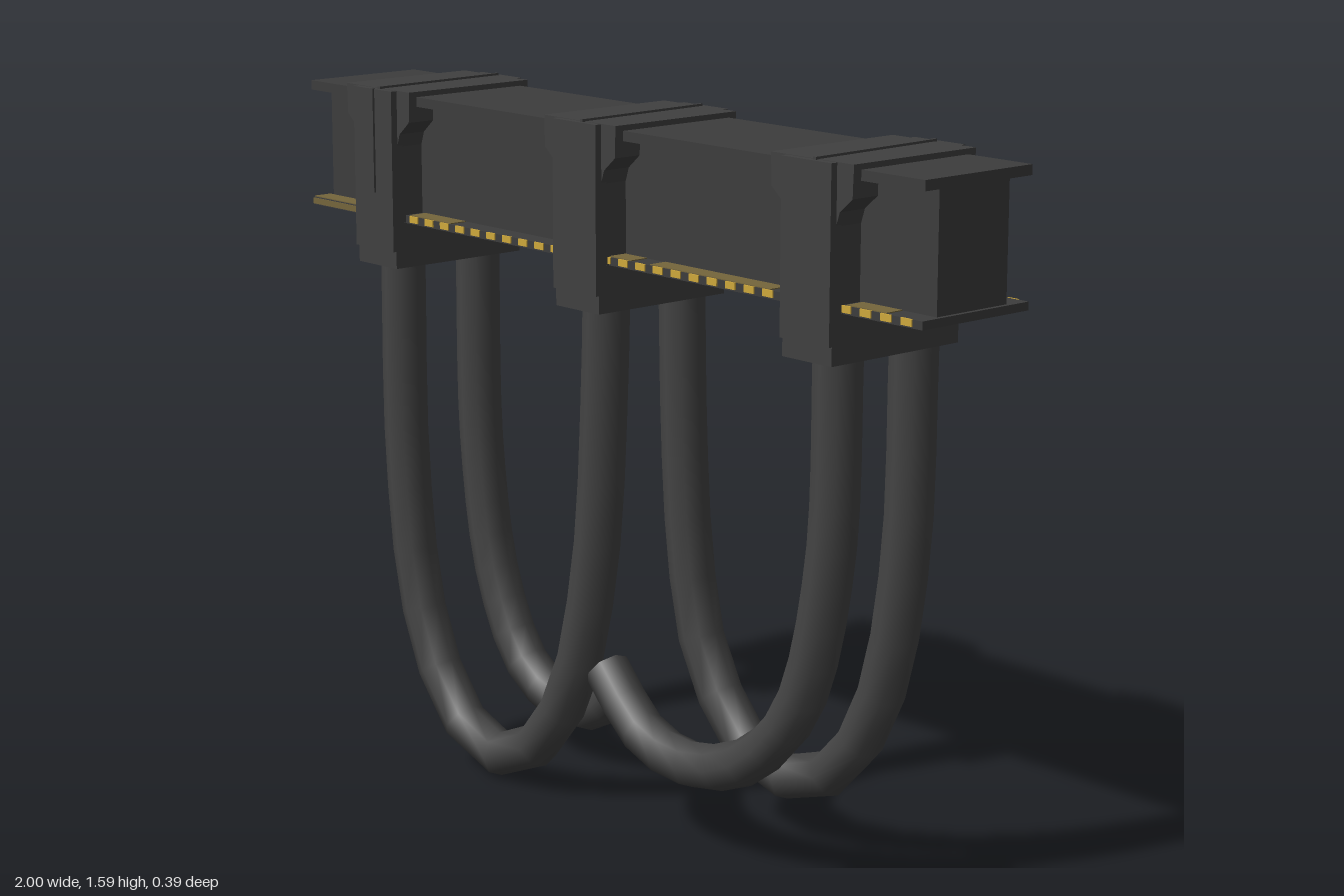
import * as THREE from 'three';

const mat = (name, color) => {
  const m = new THREE.MeshStandardMaterial({ color });
  m.name = name;
  return m;
};

export function createModel() {
  const model = new THREE.Group();
  const steel = mat('beam steel', 0x3d3d3d);
  const iron = mat('clamp iron', 0x404040);
  const rubber = mat('cable rubber', 0x444444);
  const yellow = mat('warning yellow', 0xd0a93c);
  const olive = mat('worn yellow', 0x75663c);

  const add = (parent, name, geo, material, x = 0, y = 0, z = 0) => {
    const m = new THREE.Mesh(geo, material);
    m.name = name;
    m.position.set(x, y, z);
    parent.add(m);
    return m;
  };
  const box = (parent, name, w, h, d, material, x, y, z) =>
    add(parent, name, new THREE.BoxGeometry(w, h, d), material, x, y, z);

  // Girder: thick web between two thin flanges
  const beam = new THREE.Group();
  beam.name = 'beam';
  model.add(beam);
  box(beam, 'web', 1.98, 0.27, 0.2, steel, 0, 1.43, 0);
  box(beam, 'topFlange', 2, 0.022, 0.305, steel, 0, 1.566, -0.002);
  box(beam, 'bottomFlange', 2, 0.018, 0.305, steel, 0, 1.291, -0.002);

  // Worn paint on the lower flange and dashes along its edges
  for (const s of [1, -1]) {
    const edge = s * 0.1525 - 0.002;
    for (const [a, b] of [[-1, -0.79], [-0.63, -0.48], [0.07, 0.14], [0.2, 0.57], [0.79, 0.9]])
      box(beam, 'wornPaint', b - a, 0.002, 0.045, olive, (a + b) / 2, 1.301, edge - s * 0.025);
    box(beam, 'wornEdge', 0.2, 0.014, 0.002, olive, -0.9, 1.291, edge + s * 0.001);
    for (let x = -0.61; x < 0.99; x += 0.056)
      box(beam, 'edgeDash', 0.03, 0.015, 0.004, yellow, x, 1.293, edge + s * 0.001);
  }

  // Clamps: flared side plates, raised straps, cap and cable block
  const flare = new THREE.Shape();
  const half = [[0.07, 1.18], [0.07, 1.46], [0.08, 1.49], [0.115, 1.52], [0.117, 1.578]];
  half.forEach(([x, y], i) => (i ? flare.lineTo(x, y) : flare.moveTo(x, y)));
  [...half].reverse().forEach(([x, y]) => flare.lineTo(-x, y));
  flare.closePath();
  const plateGeo = new THREE.ExtrudeGeometry(flare, { depth: 0.07, bevelEnabled: false });

  [-0.713, 0, 0.71].forEach((x, i) => {
    const clamp = new THREE.Group();
    clamp.name = 'clamp';
    clamp.position.x = x;
    model.add(clamp);
    add(clamp, 'frontPlate', plateGeo, iron, 0, 0, 0.102);
    add(clamp, 'backPlate', plateGeo, iron, 0, 0, -0.176);
    box(clamp, 'frontStrap', 0.142, 0.37, 0.03, iron, 0, 1.403, 0.173);
    box(clamp, 'backStrap', 0.142, 0.37, 0.03, iron, 0, 1.403, -0.179);
    box(clamp, 'cap', 0.234, 0.018, 0.348, iron, 0, 1.58, -0.002);
    box(clamp, 'cableBlock', 0.142, 0.105, 0.366, iron, 0, 1.2305, -0.003);
    // Thin seam ridge over the cap
    const seam = box(clamp, 'seam', 0.008, 0.008, 0.36, iron, 0.008, 1.59, 0);
    seam.rotation.y = 0.04;
    if (i === 0) box(clamp, 'frontSeam', 0.006, 0.24, 0.006, iron, 0.005, 1.47, 0.19);
  });

  // Cables: two full loops and two severed ends
  const cable = (name, pts) => {
    const curve = new THREE.CatmullRomCurve3(pts.map(p => new THREE.Vector3(...p)));
    const g = new THREE.Group();
    g.name = name;
    model.add(g);
    add(g, 'cableTube', new THREE.TubeGeometry(curve, 18, 0.052, 8), rubber);
    const cap = add(g, 'cableEnd', new THREE.CircleGeometry(0.052, 8), rubber);
    cap.position.copy(curve.getPoint(1));
    cap.quaternion.setFromUnitVectors(new THREE.Vector3(0, 0, 1), curve.getTangent(1));
  };
  const at = (z, pts) => pts.map(([x, y, dz = 0]) => [x, y, z + dz]);

  cable('frontLoop', at(0.105, [[-0.715, 1.22], [-0.71, 0.7], [-0.66, 0.36], [-0.57, 0.17], [-0.47, 0.08],
    [-0.37, 0.055], [-0.24, 0.11], [-0.11, 0.29], [-0.03, 0.6], [0, 0.95], [0.01, 1.22]]));
  cable('backCutCable', at(-0.112, [[-0.71, 1.22], [-0.7, 0.7], [-0.64, 0.38], [-0.53, 0.19],
    [-0.38, 0.125], [-0.27, 0.15], [-0.18, 0.22, 0.01]]));
  cable('backLoop', at(-0.115, [[0.01, 1.22], [0.02, 0.85], [0.04, 0.6], [0.08, 0.4], [0.15, 0.27],
    [0.25, 0.17], [0.4, 0.143], [0.53, 0.21], [0.64, 0.38], [0.71, 0.7], [0.725, 1.22]]));
  cable('frontCutCable', at(0.105, [[0.725, 1.22], [0.71, 0.75], [0.63, 0.43], [0.53, 0.3], [0.42, 0.23],
    [0.27, 0.2], [0.12, 0.23, -0.01], [-0.02, 0.34, -0.025]]));

  return model;
}
